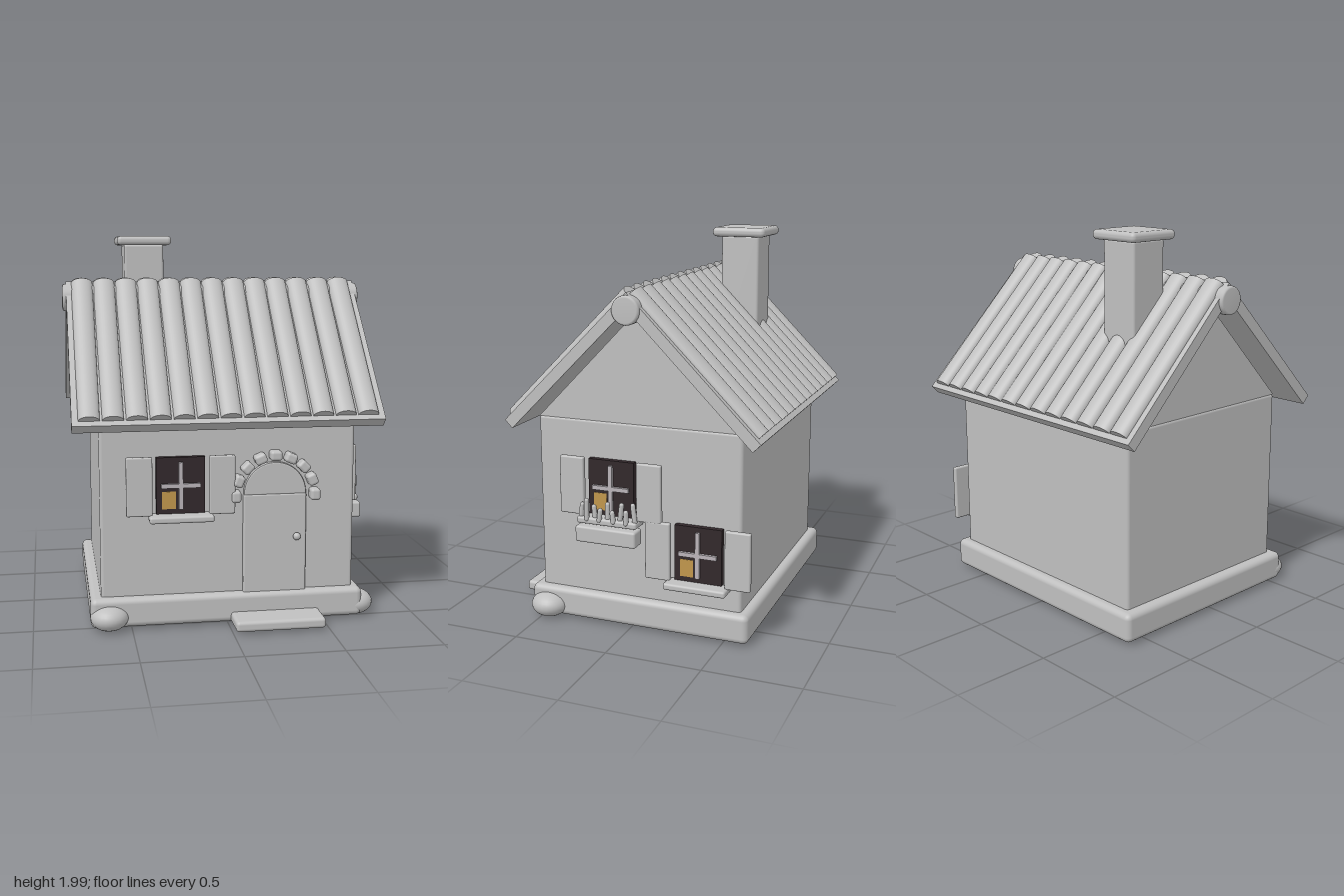
import * as THREE from 'three';
import { RoundedBoxGeometry } from 'three/addons/geometries/RoundedBoxGeometry.js';

const material = (name, color) => {
  const m = new THREE.MeshStandardMaterial({ color });
  m.name = name;
  return m;
};

export function createModel() {
  const plaster = material('plaster grey', 0xbfbfbf);
  const dark = material('dark glass', 0x32282b);
  const amber = material('lit glass', 0xc0964c);
  const barGrey = material('window bar grey', 0xbab4b9);

  const house = new THREE.Group();
  house.name = 'cottage';
  const zc = -0.037; // middle of the house body

  const add = (parent, name, geometry, x, y, z, mat = plaster) => {
    const mesh = new THREE.Mesh(geometry, mat);
    mesh.name = name;
    mesh.position.set(x, y, z);
    parent.add(mesh);
    return mesh;
  };
  const box = (parent, name, w, h, d, x, y, z, r = 0.01, mat = plaster) =>
    add(parent, name, new RoundedBoxGeometry(w, h, d, 3, r), x, y, z, mat);
  const plate = (parent, name, w, h, d, x, y, z, mat) =>
    add(parent, name, new THREE.BoxGeometry(w, h, d), x, y, z, mat);

  // Base, walls and front step
  box(house, 'base', 1.42, 0.153, 1.195, 0, 0.097, zc, 0.03);
  box(house, 'walls', 1.32, 0.95, 1.1, 0.005, 0.615, zc, 0.018);
  box(house, 'frontStep', 0.465, 0.055, 0.28, 0.243, 0.048, 0.583, 0.018);

  // Gable prism under the roof
  const gable = new THREE.Shape();
  gable.moveTo(-0.548, 1.085);
  gable.lineTo(0.548, 1.085);
  gable.lineTo(0, 1.65);
  gable.closePath();
  const gableGeo = new THREE.ExtrudeGeometry(gable, { depth: 1.312, bevelEnabled: false });
  gableGeo.translate(0, 0, -0.656);
  gableGeo.rotateY(Math.PI / 2);
  add(house, 'gable', gableGeo, 0.005, 0, zc);

  // Corner stones
  for (const [x, z] of [[-0.615, 0.535], [0.69, 0.465]]) {
    const stone = add(house, 'cornerStone', new THREE.SphereGeometry(0.098, 24, 16), x, 0.073, z);
    stone.scale.y = 0.68;
  }

  // Roof: two slabs at 45 degrees, each with a row of half-round tiles
  const tileCount = 13;
  for (const turn of [0, Math.PI]) {
    const side = new THREE.Group();
    side.name = turn ? 'backRoof' : 'frontRoof';
    side.position.set(0, 1.757, zc);
    side.rotation.y = turn;
    house.add(side);
    const slope = new THREE.Group();
    slope.name = 'roofSlope';
    slope.rotation.x = -Math.PI / 4;
    side.add(slope);
    plate(slope, 'roofSlab', 1.58, 0.957, 0.057, 0, -0.4785, -0.0285, plaster);
    for (let i = 0; i < tileCount; i++) {
      const geo = new THREE.CylinderGeometry(0.057, 0.053, 0.915, 14, 1, false, -Math.PI / 2, Math.PI);
      const tile = add(slope, 'roofTile', geo, (i - (tileCount - 1) / 2) * 0.1175, -0.47, 0);
      tile.scale.z = 0.7;
    }
  }

  // Ridge beam with softened ends
  const ridgeProfile = [[0, -0.81], [0.06, -0.81], [0.069, -0.806], [0.072, -0.797],
    [0.072, 0.797], [0.069, 0.806], [0.06, 0.81], [0, 0.81]].map(p => new THREE.Vector2(...p));
  add(house, 'ridgeBeam', new THREE.LatheGeometry(ridgeProfile, 28), 0, 1.672, zc).rotation.z = Math.PI / 2;

  // Chimney
  box(house, 'chimney', 0.216, 0.62, 0.212, -0.357, 1.645, -0.259, 0.014);
  box(house, 'chimneyCap', 0.297, 0.05, 0.297, -0.357, 1.975, -0.259, 0.022);

  // Door with half-round top, knob and stone arch
  const door = new THREE.Group();
  door.name = 'door';
  door.position.set(0.243, 0, 0.513);
  house.add(door);
  box(door, 'doorPanel', 0.33, 0.525, 0.04, 0, 0.425, 0.005, 0.01);
  const half = new THREE.Shape();
  half.absarc(0, 0, 0.155, 0, Math.PI, false);
  half.closePath();
  const fanGeo = new THREE.ExtrudeGeometry(half, {
    depth: 0.02, curveSegments: 24, bevelThickness: 0.006, bevelSize: 0.008, bevelSegments: 2,
  });
  add(door, 'doorTop', fanGeo, 0, 0.69, -0.005);
  add(door, 'doorKnob', new THREE.SphereGeometry(0.02, 16, 12), 0.112, 0.463, 0.04);
  for (let i = 0; i < 9; i++) {
    const a = (i * Math.PI) / 8;
    const stone = box(door, 'archStone', 0.052, 0.062, 0.07,
      Math.cos(a) * 0.207, 0.683 + Math.sin(a) * 0.207, 0.024, 0.016);
    stone.rotation.z = a;
  }

  // Windows, built facing +z and turned onto their wall
  const makeWindow = (name, x, y, z, turn) => {
    const g = new THREE.Group();
    g.name = name;
    g.position.set(x, y, z);
    g.rotation.y = turn;
    house.add(g);
    plate(g, 'windowGlass', 0.248, 0.29, 0.04, 0, 0, 0.01, dark);
    plate(g, 'litPane', 0.07, 0.09, 0.003, -0.06, -0.075, 0.031, amber);
    plate(g, 'crossbar', 0.2, 0.022, 0.02, 0, 0, 0.036, barGrey);
    plate(g, 'upright', 0.022, 0.24, 0.02, 0, 0, 0.036, barGrey);
    for (const s of [-1, 1]) box(g, 'shutter', 0.133, 0.302, 0.03, s * 0.211, 0, 0.037, 0.008);
    box(g, 'windowSill', 0.328, 0.035, 0.1, 0, -0.163, 0.05, 0.012);
    return g;
  };
  makeWindow('frontWindow', -0.247, 0.75, 0.513, 0);
  makeWindow('lowSideWindow', 0.665, 0.457, -0.37, Math.PI / 2);
  const flowerWindow = makeWindow('flowerWindow', 0.665, 0.75, 0.098, Math.PI / 2);

  // Planter box with a row of stems
  box(flowerWindow, 'planter', 0.33, 0.085, 0.09, 0, -0.232, 0.072, 0.012);
  const stems = [0.08, 0.11, 0.075, 0.065, 0.095, 0.06, 0.1, 0.07, 0.105];
  stems.forEach((h, i) => {
    const stem = add(flowerWindow, 'stem', new THREE.CapsuleGeometry(0.013, h - 0.013, 4, 10),
      (i - 4) * 0.036, -0.16 + h / 2, 0.075 + (i % 2) * 0.018);
    stem.rotation.z = ((i % 3) - 1) * 0.12;
  });

  return house;
}
